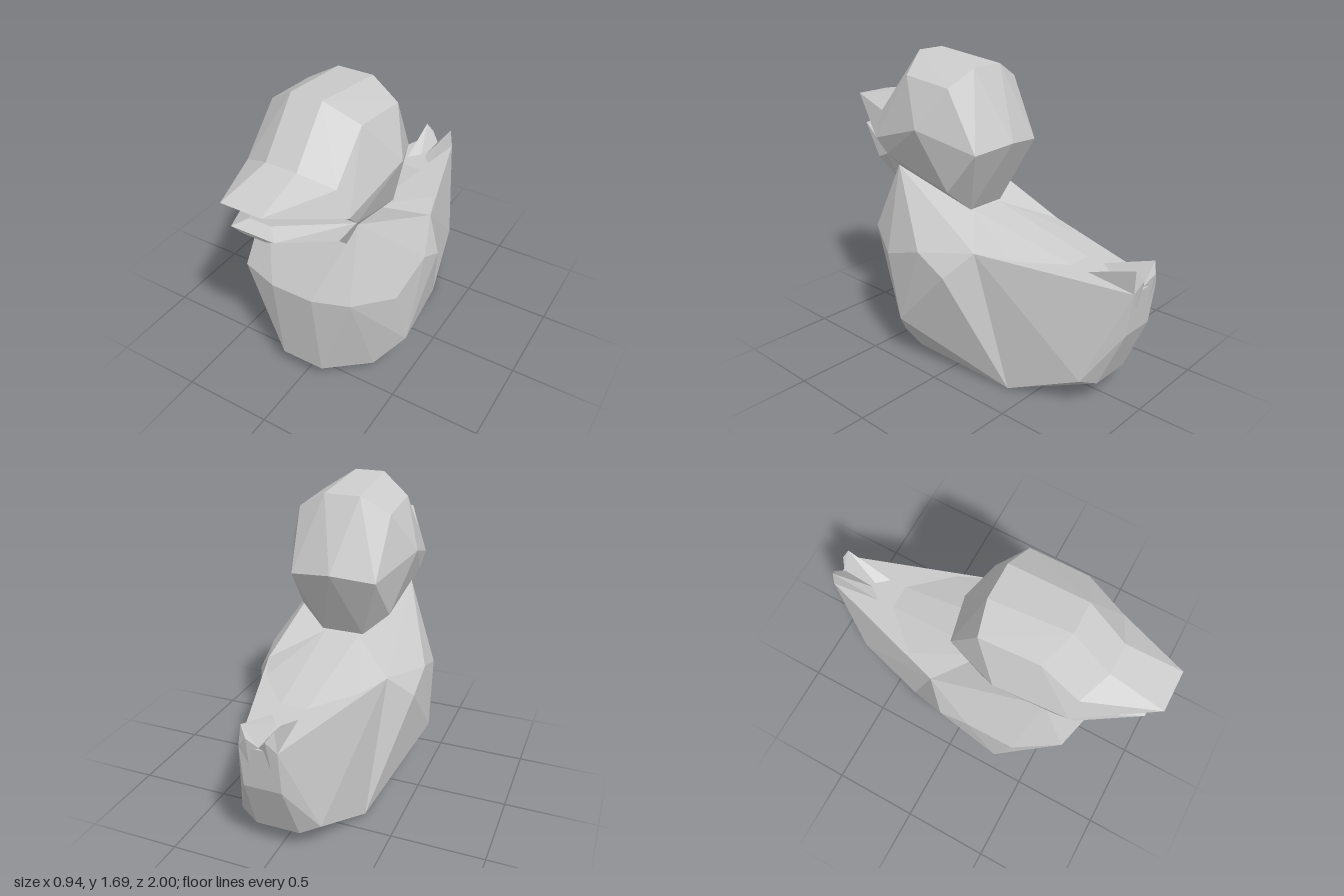
import * as THREE from 'three';
import { ConvexGeometry } from 'three/addons/geometries/ConvexGeometry.js';

const material = new THREE.MeshStandardMaterial({ color: 0xcccccc, flatShading: true });

// Faceted solid around a few corners; each corner is mirrored across x unless told otherwise
function facet(name, corners, mirrored = true) {
  const points = [];
  for (const [x, y, z] of corners) {
    points.push(new THREE.Vector3(x, y, z));
    if (mirrored && x !== 0) points.push(new THREE.Vector3(-x, y, z));
  }
  const mesh = new THREE.Mesh(new ConvexGeometry(points), material);
  mesh.name = name;
  return mesh;
}

export function createModel() {
  const duck = new THREE.Group();
  duck.name = 'duck';

  // Corners where neighbouring parts meet
  const keel = [0.31, 0, -0.37];
  const hip = [0.35, 0.74, -0.17];
  const nape = [0.1, 0.86, 0.08];
  const throat = [0.235, 0.97, 0.53];
  const neckSide = [0.27, 1.07, 0.48];
  const mouthCorner = [0.31, 1.21, 0.62];
  const rump = [0.07, 0.7, -0.64];

  // Breast and shoulders, rising to the neck
  duck.add(facet('breast', [
    keel, hip, nape, throat, neckSide,
    [0.12, 0.01, 0.48], [0.31, 0.005, 0.3],
    [0.125, 0.115, 0.63], [0.33, 0.08, 0.42], [0.465, 0.24, 0.3],
    [0.12, 0.66, 0.69], [0.32, 0.68, 0.64], [0.45, 0.61, 0.4],
    [0.47, 0.7, 0.13], [0.465, 0.6, -0.05],
  ]));

  // Rear body narrowing to the tail
  duck.add(facet('rearBody', [
    keel, hip, rump,
    [0.1, 0.685, -0.98], [0.1, 0.45, -0.95],
    [0.22, 0.17, -0.77], [0.12, 0.13, -0.81],
  ]));

  // Slope from the nape down to the rump
  duck.add(facet('back', [nape, hip, rump, [0.28, 0.72, -0.38], [0.25, 0.5, 0]]));

  // Two upturned tail feathers with a groove between them
  for (const s of [1, -1]) {
    duck.add(facet(s > 0 ? 'leftTailFeather' : 'rightTailFeather', [
      [0.07, 0.695, -0.66], [0.0, 0.68, -0.72], [0.1, 0.685, -0.98],
      [0.085, 0.8, -0.975], [0.05, 0.745, -1], [0, 0.69, -0.97],
      [0.06, 0.5, -0.95],
    ].map(([x, y, z]) => [x * s, y, z]), false));
  }

  // Head
  duck.add(facet('head', [
    [0.085, 1.69, 0.48], [0.1, 1.64, 0.055],
    [0.25, 1.58, 0.41], [0.26, 1.55, 0.09],
    [0.085, 1.43, 0.7], [0.25, 1.355, 0.63],
    [0.37, 1.33, 0.23], [0.24, 1.22, -0.08], [0, 1.25, -0.13],
    mouthCorner, [0.3, 1.13, 0.54], neckSide,
    [0.26, 0.985, 0.11], [0.12, 0.86, 0.07],
  ]));

  // Upper bill
  duck.add(facet('upperBill', [
    [0.085, 1.43, 0.7], [0.25, 1.355, 0.63],
    [0.11, 1.38, 1], [0.1, 1.365, 0.96], mouthCorner,
  ]));

  // Lower bill and throat
  duck.add(facet('lowerBill', [
    [0.12, 1.21, 0.94], [0.06, 1.24, 0.88], [0.06, 1.185, 0.93],
    [0.27, 1.085, 0.65], [0.3, 1.13, 0.54],
  ]));
  duck.add(facet('throat', [
    [0.27, 1.085, 0.65], [0.3, 1.13, 0.54], neckSide, throat, [0.2, 0.95, 0.3],
  ]));

  return duck;
}
